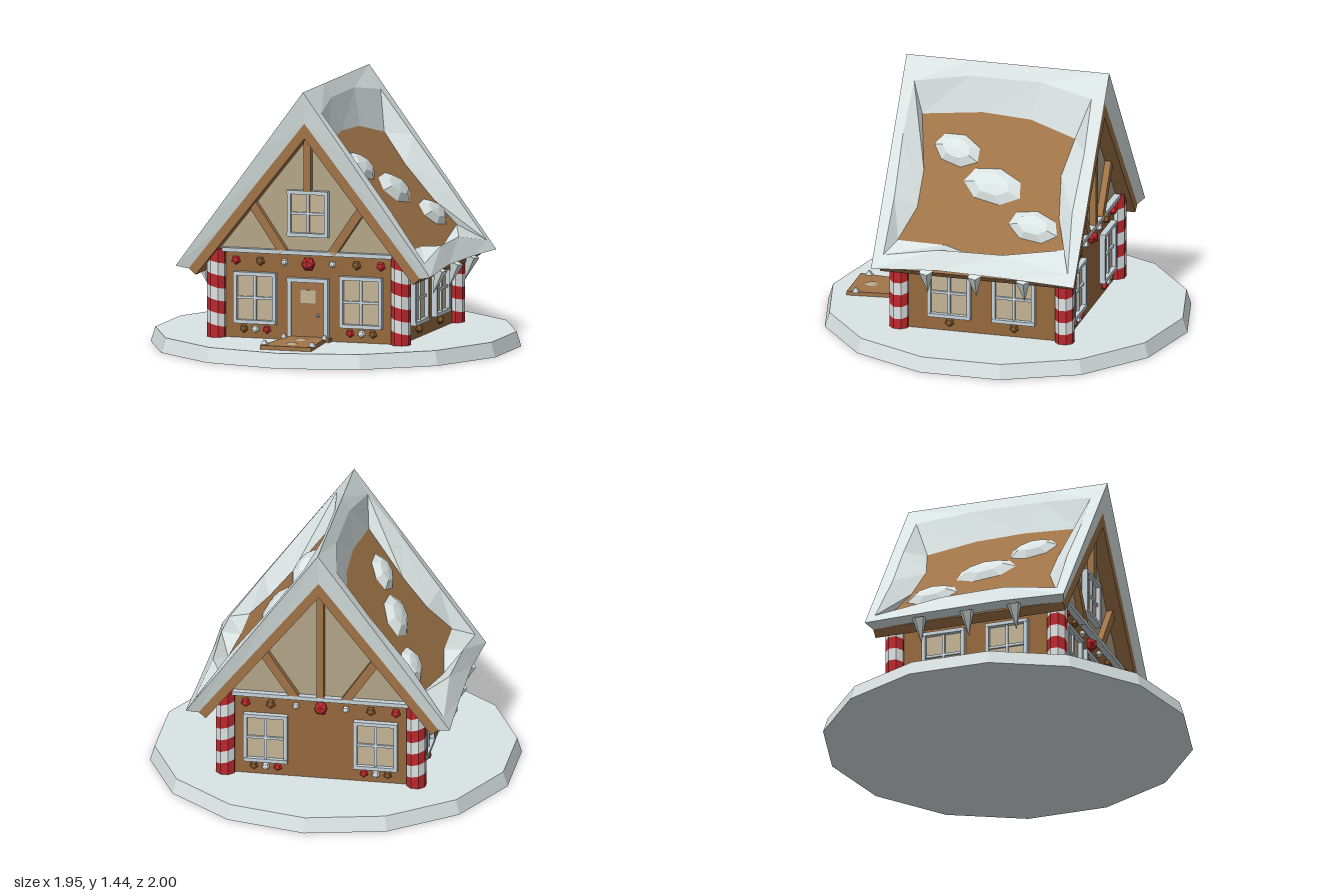
import * as THREE from 'three';

const mat = (name, color) => {
  const m = new THREE.MeshStandardMaterial({ color });
  m.name = name;
  return m;
};

export function createModel() {
  const house = new THREE.Group();
  house.name = 'gingerbreadHouse';
  const snow = mat('snow', 0xdbe4e4), ginger = mat('gingerbread', 0x96693e), wood = mat('woodTrim', 0xa07448);
  const panel = mat('gablePanel', 0xb4a588), glass = mat('windowGlass', 0xc4b496);
  const red = mat('candyRed', 0xbe282d), white = mat('candyWhite', 0xdfe3e3);
  const icing = mat('icing', 0xc6d2da), cocoa = mat('cocoaCandy', 0x80592f);

  // Helpers: faceted normals, named meshes, boxes and lofts
  const flat = (g) => {
    const f = g.index ? g.toNonIndexed() : g;
    f.computeVertexNormals();
    return f;
  };
  const add = (parent, name, geo, material, x = 0, y = 0, z = 0) => {
    const m = new THREE.Mesh(geo, material);
    m.name = name;
    m.position.set(x, y, z);
    parent.add(m);
    return m;
  };
  const box = (parent, name, w, h, d, material, x, y, z) =>
    add(parent, name, new THREE.BoxGeometry(w, h, d), material, x, y, z);
  const prism = (points, depth) => {
    const shape = new THREE.Shape(points.map(([x, y]) => new THREE.Vector2(x, y)));
    return new THREE.ExtrudeGeometry(shape, { depth, bevelEnabled: false }).translate(0, 0, -depth / 2);
  };
  // Skins closed rings from the outermost inwards; side -1 mirrors in x
  const loft = (rings, side) => {
    const out = [];
    const tri = (a, b, c) => (side > 0 ? [a, b, c] : [a, c, b])
      .forEach((p) => out.push(p[0] * side, p[1], p[2]));
    for (let r = 0; r < rings.length - 1; r++) {
      const n = rings[r].length;
      for (let i = 0; i < n; i++) {
        const j = (i + 1) % n;
        tri(rings[r][i], rings[r][j], rings[r + 1][j]);
        tri(rings[r][i], rings[r + 1][j], rings[r + 1][i]);
      }
    }
    const g = new THREE.BufferGeometry();
    g.setAttribute('position', new THREE.Float32BufferAttribute(out, 3));
    g.computeVertexNormals();
    return g;
  };

  // Snowy ground disc, walls and gable block
  add(house, 'snowBase', flat(new THREE.CylinderGeometry(0.975, 1, 0.08, 14)), snow, 0, 0.04, 0);
  box(house, 'walls', 1.04, 0.48, 0.92, ginger, 0, 0.32, 0);
  add(house, 'gables', prism([[-0.505, 0.56], [0.505, 0.56], [0, 1.2]], 0.92), panel);

  // Striped candy pillars with slanted bands
  const bands = 7, bandH = 0.48 / bands;
  for (const px of [-0.52, 0.52]) for (const pz of [-0.46, 0.46]) {
    const pillar = new THREE.Group();
    pillar.name = 'candyPillar';
    pillar.position.set(px, 0.08, pz);
    house.add(pillar);
    for (let k = 0; k < bands; k++) {
      const g = new THREE.CylinderGeometry(0.054, 0.054, bandH, 8, 1, k > 0 && k < bands - 1);
      g.rotateY(Math.PI / 8).translate(0, (k + 0.5) * bandH, 0);
      const p = g.attributes.position;
      for (let i = 0; i < p.count; i++) {
        const y = p.getY(i);
        if (y > 0.01 && y < 0.47) p.setY(i, y - 0.25 * p.getX(i));
      }
      add(pillar, 'pillarBand', flat(g), k % 2 ? white : red);
    }
  }

  // Roof boards
  add(house, 'roofBoards', prism([[0, 1.27], [-0.655, 0.455], [-0.615, 0.42], [0, 1.185],
    [0.615, 0.42], [0.655, 0.455]], 1.08), wood);

  // Snow rim around each roof slope: skirt, top edge, crest, inner melt line
  const roofY = (x) => 1.27 - 1.244 * x;
  const snowY = (x) => 1.44 - 1.35 * x;
  const edge = [[0, 0.565], [0.25, 0.565], [0.5, 0.565], [0.72, 0.565], [0.705, 0.2], [0.71, -0.2],
    [0.72, -0.565], [0.5, -0.565], [0.25, -0.565], [0, -0.565], [0, -0.2], [0, 0.2]];
  const crest = [[0.085, 0.5, 0], [0.27, 0.51, 0.01], [0.48, 0.5, 0.01], [0.67, 0.51, 0], [0.66, 0.2, 0.04],
    [0.645, -0.15, 0.02], [0.68, -0.52, 0], [0.48, -0.49, 0.015], [0.27, -0.5, 0], [0.09, -0.49, 0],
    [0.04, -0.2, -0.02], [0.04, 0.2, -0.02]];
  const melt = [[0.1, 0.45], [0.3, 0.385], [0.43, 0.385], [0.55, 0.46], [0.552, 0.2], [0.588, 0],
    [0.53, -0.46], [0.42, -0.4], [0.27, -0.37], [0.137, -0.41], [0.085, -0.15], [0.075, 0.12]];
  const skirt = edge.map(([x, z]) => [x * 0.91, roofY(x * 0.91) - 0.003, Math.sign(z) * Math.min(Math.abs(z), 0.54)]);
  const rim = [skirt, edge.map(([x, z]) => [x, snowY(x), z]),
    crest.map(([x, z, lift]) => [x, snowY(x) + lift, z]),
    melt.map(([x, z]) => [x, roofY(x) - 0.002, z])];

  // Loose snow patches: centre x, centre z, half width, half length
  const patches = [[0.215, 0.22, 0.06, 0.13], [0.33, -0.01, 0.066, 0.165], [0.46, -0.27, 0.057, 0.14]];
  const patchRing = ([cx, cz, w, l], scale, lift, turn) => Array.from({ length: 7 }, (_, i) => {
    const a = (i / 7) * Math.PI * 2 + turn;
    const x = cx + Math.cos(a) * w * scale, z = cz - Math.sin(a) * l * scale;
    return [x + lift * 0.78, roofY(x) + lift * 0.63, z - Math.cos(a) * w * 0.5 * scale];
  });
  for (const side of [1, -1]) {
    add(house, 'roofSnow', loft(rim, side), snow);
    patches.forEach((p, i) => add(house, 'snowPatch',
      loft([patchRing(p, 1, 0, i), patchRing(p, 0.6, 0.03, i), patchRing(p, 0, 0.04, i)], side), snow));
    // Icicles under the eaves
    for (const z of [-0.27, 0, 0.27]) {
      const g = new THREE.ConeGeometry(0.04, 0.14, 5).rotateX(Math.PI).translate(0, -0.07, 0);
      const icicle = add(house, 'icicle', flat(g), snow, side * 0.68, 0.47, z);
      icicle.rotation.z = -side * 0.3;
    }
  }

  // Details placed on a wall, with local z pointing outwards
  const candy = (wall, material, x, y, r = 0.026) => {
    const g = r > 0.03 ? new THREE.IcosahedronGeometry(r, 0)
      : new THREE.SphereGeometry(r, 5, 4).rotateX(Math.PI / 2).rotateZ(Math.PI / 2);
    add(wall, 'candy', flat(g), material, x, y, 0.008);
  };
  const frame = (parent, name, w, h, x, y, t, bottom = true) => {
    for (const s of [-1, 1]) {
      box(parent, name, t, h, 0.045, icing, x + s * (w - t) / 2, y, 0.008);
      if (bottom || s > 0) box(parent, name, w, t, 0.05, icing, x, y + s * (h - t) / 2, 0.008);
    }
  };
  const windowAt = (wall, x, y, w, h) => {
    box(wall, 'windowPane', w - 0.02, h - 0.02, 0.008, glass, x, y, 0.004);
    frame(wall, 'windowFrame', w, h, x, y, 0.02);
    box(wall, 'windowBar', 0.014, h - 0.03, 0.026, icing, x, y, 0.007);
    box(wall, 'windowBar', w - 0.03, 0.014, 0.026, icing, x, y, 0.007);
  };
  const makeWall = (name, x, z, turn) => {
    const wall = new THREE.Group();
    wall.name = name;
    wall.position.set(x, 0, z);
    wall.rotation.y = turn;
    house.add(wall);
    return wall;
  };

  // Front and back walls: icing ledge, braces, windows and candies
  const front = makeWall('frontWall', 0, 0.46, 0);
  const back = makeWall('backWall', 0, -0.46, Math.PI);
  for (const wall of [front, back]) {
    box(wall, 'icingLedge', 0.96, 0.022, 0.05, icing, 0, 0.557, 0.01);
    [red, cocoa, white].forEach((m, i) => {
      for (const s of [-1, 1]) candy(wall, m, s * (0.41 - i * 0.137), 0.5, i === 2 ? 0.021 : 0.027);
    });
    candy(wall, red, 0, 0.495, 0.04);
    for (const s of [-1, 1]) {
      windowAt(wall, s * 0.3, 0.3, 0.24, 0.28);
      [red, white, cocoa].forEach((m, i) => candy(wall, m, s * (0.235 + i * 0.065), 0.13, 0.024));
      const brace = box(wall, 'gableBrace', 0.047, 0.32, 0.05, wood, s * 0.227, 0.69, 0.01);
      brace.rotation.z = -s * 0.6;
    }
  }
  box(front, 'gablePost', 0.04, 0.32, 0.05, wood, 0, 1.05, 0.01);
  box(back, 'gablePost', 0.04, 0.64, 0.05, wood, 0, 0.885, 0.01);
  windowAt(front, 0, 0.77, 0.23, 0.25);

  // Front door
  box(front, 'door', 0.2, 0.32, 0.02, wood, 0, 0.25, 0.005);
  frame(front, 'doorFrame', 0.23, 0.34, 0, 0.25, 0.022, false);
  box(front, 'doorWindow', 0.085, 0.07, 0.008, glass, 0, 0.32, 0.016);
  box(front, 'doorStep', 0.26, 0.02, 0.06, ginger, 0, 0.09, 0.02);
  add(front, 'doorKnob', flat(new THREE.IcosahedronGeometry(0.011, 0)), icing, 0.058, 0.22, 0.02);

  // Side walls
  for (const s of [-1, 1]) {
    const wall = makeWall('sideWall', s * 0.52, 0, s * Math.PI / 2);
    for (const x of [-0.18, 0.18]) {
      windowAt(wall, x, 0.3, 0.24, 0.28);
      candy(wall, cocoa, x, 0.13);
    }
  }

  // Biscuit path with sugar drops
  const path = prism([[-0.105, -0.46], [0.105, -0.46], [0.145, -0.86], [-0.145, -0.86]], 0.024).rotateX(-Math.PI / 2);
  add(house, 'path', path, wood, 0, 0.09, 0);
  const drop = (x, z, r, h, n) => add(house, 'sugarDrop',
    flat(new THREE.CylinderGeometry(r * 0.3, r, h, n)), n > 4 ? panel : icing, x, 0.1 + h / 2, z);
  for (const z of [0.6, 0.76]) drop(0, z, 0.042, 0.012, 6);
  for (const s of [-1, 1]) {
    drop(s * 0.135, 0.81, 0.026, 0.024, 4).rotation.y = Math.PI / 4;
    drop(s * 0.115, 0.54, 0.022, 0.024, 4).rotation.y = Math.PI / 4;
  }
  return house;
}
